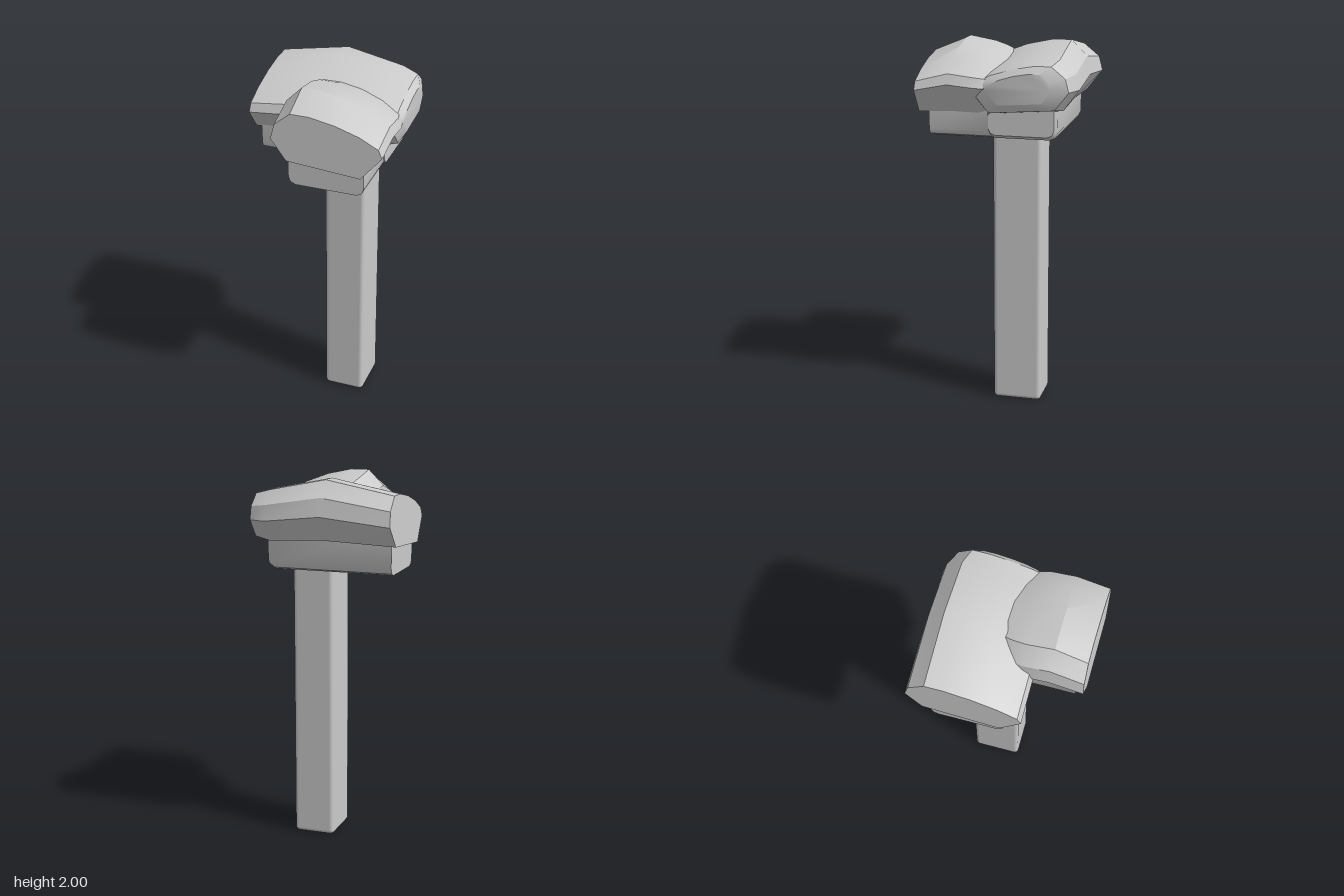
import * as THREE from 'three';
import { toCreasedNormals } from 'three/addons/utils/BufferGeometryUtils.js';
import { RoundedBoxGeometry } from 'three/addons/geometries/RoundedBoxGeometry.js';

const material = new THREE.MeshStandardMaterial({ color: 0xcccccc });

// Loft a clockwise (x, y) profile along z, front to back.
// Each station is [z, arch 0..1, scale about the profile centre, end slant].
function loft(profile, stations, crease = 0.5) {
  const n = profile.length, pos = [], idx = [];
  for (const [z, arch, scale = 1, slant = 0] of stations) {
    for (const [u, v] of profile) {
      const y = v + arch * 0.07 * (v - 1.6) / 0.33;
      pos.push(0.12 + (u - 0.12) * scale, 1.8 + (y - 1.8) * scale, z - slant * (v - 1.64));
    }
  }
  for (let k = 0; k < stations.length - 1; k++) {
    for (let i = 0; i < n; i++) {
      const a = k * n + i, b = k * n + (i + 1) % n;
      idx.push(a, b, a + n, b, b + n, a + n);
    }
  }
  const last = (stations.length - 1) * n;
  for (let i = 1; i < n - 1; i++) {
    idx.push(0, i + 1, i, last, last + i, last + i + 1);
  }
  const geo = new THREE.BufferGeometry();
  geo.setAttribute('position', new THREE.Float32BufferAttribute(pos, 3));
  geo.setIndex(idx);
  return toCreasedNormals(geo, crease);
}

// Lopsided, faceted outline of the capping stones
const capProfile = [
  [-0.185, 1.78], [-0.165, 1.86], [-0.08, 1.93], [0.02, 1.93], [0.16, 1.905],
  [0.29, 1.865], [0.39, 1.815], [0.41, 1.77], [0.30, 1.64], [-0.10, 1.67],
];

// Block with rounded lower edges
const baseProfile = (u0, u1) => [
  [u0, 1.74], [u1, 1.74], [u1, 1.55], [u1 - 0.012, 1.522], [u1 - 0.04, 1.51],
  [u0 + 0.04, 1.51], [u0 + 0.012, 1.522], [u0, 1.55],
];

export function createModel() {
  const model = new THREE.Group();
  const add = (name, geometry, parent = model) => {
    const mesh = new THREE.Mesh(geometry, material);
    mesh.name = name;
    parent.add(mesh);
    return mesh;
  };

  // Square post with softened edges
  const post = add('post', new RoundedBoxGeometry(0.23, 1.6, 0.27, 2, 0.025));
  post.position.set(0.085, 0.8, -0.085);

  // Arm running to the front
  const frontArm = new THREE.Group();
  frontArm.name = 'frontArm';
  model.add(frontArm);
  add('frontCap', loft(capProfile, [
    [0.425, 0, 1, 0.05], [0.24, 1], [0.1, 0.65], [0.03, 0.5, 0.94], [-0.06, 0.3, 0.8],
  ]), frontArm);
  add('frontBase', loft(baseProfile(-0.11, 0.3), [[0.37, 0], [0.03, 0]], 0.7), frontArm);

  // Arm running to the side, turned a quarter and set back
  const sideArm = new THREE.Group();
  sideArm.name = 'sideArm';
  sideArm.rotation.y = -Math.PI / 2;
  sideArm.position.z = -0.25;
  model.add(sideArm);
  add('sideCap', loft(capProfile, [
    [0.42, 0, 1, 0.06], [0.03, 1], [-0.28, 0.1], [-0.37, 0, 0.87], [-0.4, 0, 0.58],
  ]), sideArm);
  add('sideBase', loft(baseProfile(-0.07, 0.31), [
    [0.385, 0], [-0.27, 0], [-0.305, 0, 0.93],
  ], 0.7), sideArm);

  return model;
}
